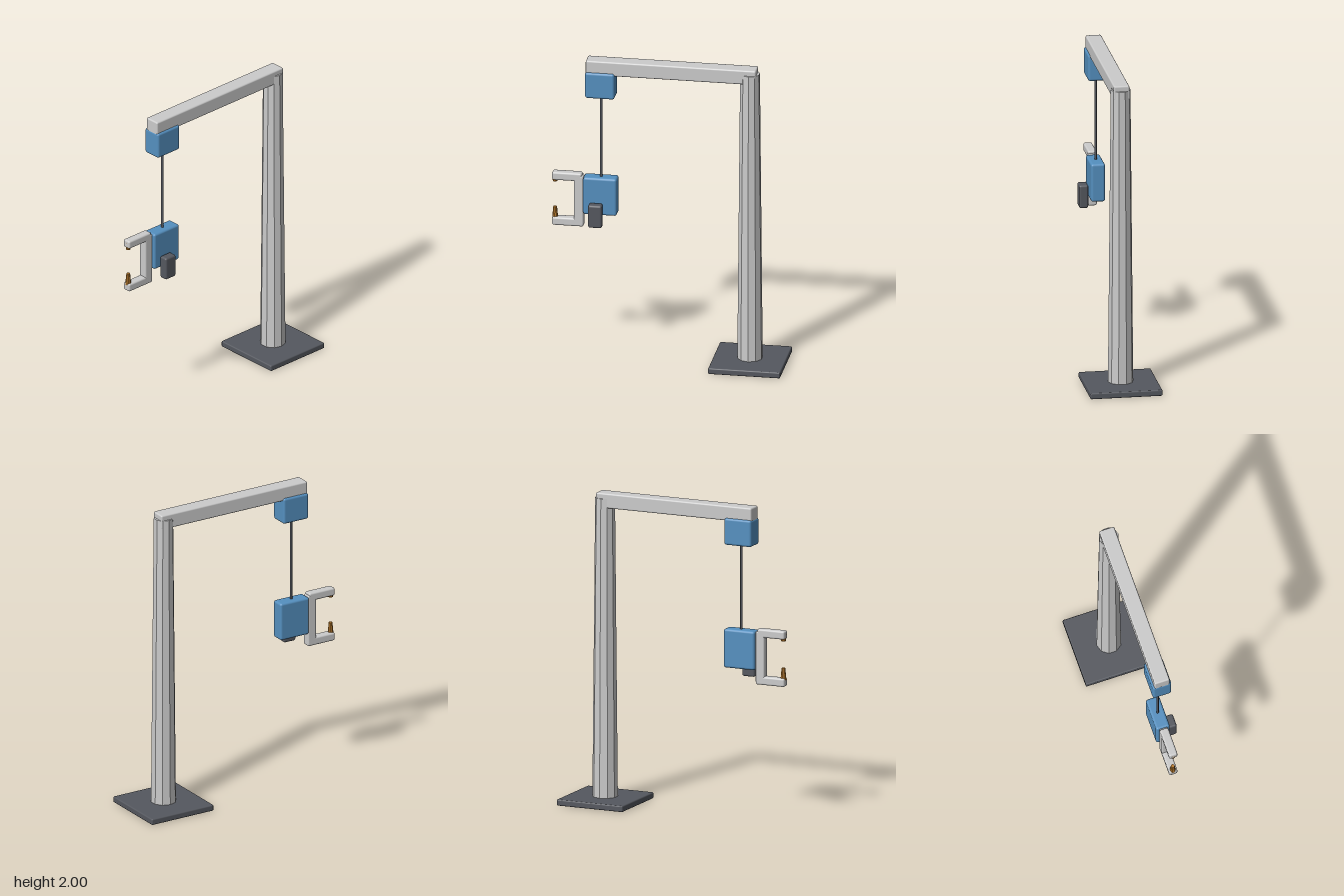
import * as THREE from 'three';
import { RoundedBoxGeometry } from 'three/addons/geometries/RoundedBoxGeometry.js';

const grey = new THREE.MeshStandardMaterial({ color: 0xcccccc });
const greyFlat = new THREE.MeshStandardMaterial({ color: 0xcccccc, flatShading: true });
const blue = new THREE.MeshStandardMaterial({ color: 0x5590c0 });
const dark = new THREE.MeshStandardMaterial({ color: 0x55585f });
const brass = new THREE.MeshStandardMaterial({ color: 0xb87a2c, flatShading: true });

// Rounded block given by its [min, max] on each axis
function block(name, [x0, x1], [y0, y1], [z0, z1], radius, material) {
  const mesh = new THREE.Mesh(new RoundedBoxGeometry(x1 - x0, y1 - y0, z1 - z0, 2, radius), material);
  mesh.position.set((x0 + x1) / 2, (y0 + y1) / 2, (z0 + z1) / 2);
  mesh.name = name;
  return mesh;
}

// Upright round part from y0 to y1
function rod(name, rTop, rBottom, y0, y1, z, sides, material) {
  const geometry = new THREE.CylinderGeometry(rTop, rBottom, y1 - y0, sides);
  geometry.rotateY(Math.PI / sides);
  const mesh = new THREE.Mesh(geometry, material);
  mesh.position.set(0, (y0 + y1) / 2, z);
  mesh.name = name;
  return mesh;
}

export function createModel() {
  const model = new THREE.Group();
  model.name = 'hangingWeldingGun';

  // Stand: base plate, tapered ten-sided column and overhead beam
  const stand = new THREE.Group();
  stand.name = 'stand';
  stand.add(
    block('basePlate', [-0.23, 0.23], [0, 0.04], [-0.745, -0.285], 0.008, dark),
    rod('column', 0.063, 0.081, 0.03, 1.965, -0.515, 10, greyFlat),
    block('beam', [-0.05, 0.05], [1.905, 2], [-0.56, 0.527], 0.01, grey),
  );

  // Balancer under the beam end, with its cable
  const hoist = new THREE.Group();
  hoist.name = 'hoist';
  hoist.add(
    block('balancer', [-0.062, 0.062], [1.75, 1.923], [0.342, 0.53], 0.015, blue),
    rod('cable', 0.008, 0.008, 1.19, 1.77, 0.435, 8, dark),
  );

  // Gun body with the side handle
  const gun = new THREE.Group();
  gun.name = 'gun';
  gun.add(
    block('gunBody', [-0.045, 0.045], [0.955, 1.205], [0.33, 0.545], 0.015, blue),
    block('handle', [0.048, 0.106], [0.89, 1.042], [0.415, 0.503], 0.013, dark),
  );

  // C-shaped jaw with two facing electrode tips
  gun.add(
    block('jawSpine', [-0.028, 0.028], [0.873, 1.207], [0.545, 0.606], 0.01, grey),
    block('upperArm', [-0.028, 0.028], [1.168, 1.222], [0.555, 0.746], 0.012, grey),
    block('lowerArm', [-0.028, 0.028], [0.863, 0.917], [0.545, 0.746], 0.012, grey),
    rod('upperTip', 0.018, 0.015, 1.155, 1.2, 0.729, 10, brass),
    rod('lowerTip', 0.012, 0.019, 0.905, 0.982, 0.729, 10, brass),
  );

  model.add(stand, hoist, gun);
  return model;
}
